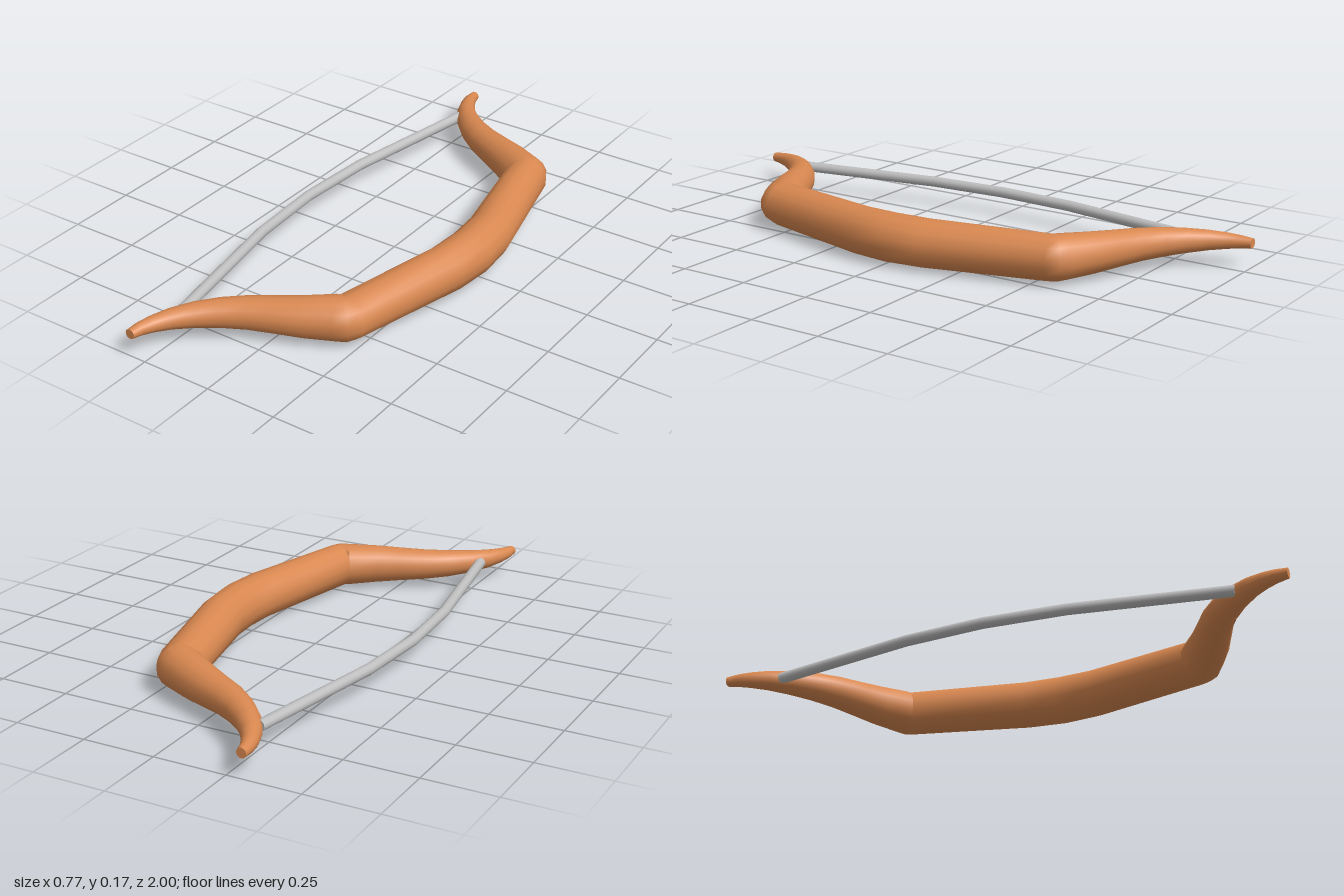
import * as THREE from 'three';

const HEIGHT = 0.0825; // height of the centre line

// Sweeps a round section along a path of [x, z, radius] points lying flat, with end caps.
function sweep(path, sides) {
  const pos = [], idx = [];
  const pts = path.map(([x, z]) => new THREE.Vector2(x, z));
  const dir = (a, b) => b.clone().sub(a).normalize();
  const ring = (i) => {
    const t = new THREE.Vector2();
    if (i > 0) t.add(dir(pts[i - 1], pts[i]));
    if (i < pts.length - 1) t.add(dir(pts[i], pts[i + 1]));
    t.normalize();
    if (path[i][3]) t.set(0, 1); // squared-off end
    const r = path[i][2], start = pos.length / 3;
    for (let j = 0; j < sides; j++) {
      const a = Math.PI / 2 + (j / sides) * Math.PI * 2;
      const c = Math.cos(a) * r;
      pos.push(pts[i].x + t.y * c, HEIGHT + Math.sin(a) * r, pts[i].y - t.x * c);
    }
    return start;
  };
  path.forEach((_, i) => {
    const b = ring(i);
    if (i === 0) return;
    for (let j = 0; j < sides; j++) {
      const k = (j + 1) % sides, a = b - sides;
      idx.push(a + j, a + k, b + j, a + k, b + k, b + j);
    }
  });
  // Caps use their own vertices so their rims stay sharp
  for (const i of [0, path.length - 1]) {
    const s = ring(i);
    for (let j = 1; j < sides - 1; j++) {
      if (i === 0) idx.push(s, s + j + 1, s + j);
      else idx.push(s, s + j, s + j + 1);
    }
  }
  const g = new THREE.BufferGeometry();
  g.setAttribute('position', new THREE.Float32BufferAttribute(pos, 3));
  g.setIndex(idx);
  g.computeVertexNormals();
  return g;
}

// Extends a half path (from z = 0 forward) to the back by mirroring
const mirror = (half) => [
  ...half.slice(1).reverse().map(([x, z, r, end]) => [x, -z, r, end]),
  ...half,
];

export function createModel() {
  const wood = new THREE.MeshStandardMaterial({ color: 0xd98850 });
  wood.name = 'wood';
  const cord = new THREE.MeshStandardMaterial({ color: 0xbebebe });
  cord.name = 'cord';

  const group = new THREE.Group();
  group.name = 'bow';

  // Grip, sharp shoulder, then a tapering limb that recurves to the tip
  const limbs = new THREE.Mesh(sweep(mirror([
    [0.304, 0, 0.0825],
    [0.293, 0.13, 0.081],
    [0.197, 0.54, 0.076],
    [0.19, 0.556, 0.076],
    [0.165, 0.568, 0.075],
    [0.08, 0.62, 0.068],
    [0, 0.66, 0.061],
    [-0.08, 0.7, 0.055],
    [-0.15, 0.748, 0.049],
    [-0.21, 0.804, 0.042],
    [-0.257, 0.865, 0.034],
    [-0.285, 0.92, 0.027],
    [-0.298, 0.96, 0.022],
    [-0.303, 1, 0.017, true],
  ]), 14), wood);
  limbs.name = 'bowLimbs';

  // String, bent slightly outward in the middle
  const string = new THREE.Mesh(sweep(mirror([
    [-0.366, 0, 0.019],
    [-0.348, 0.285, 0.019],
    [-0.256, 0.815, 0.019],
  ]), 12), cord);
  string.name = 'bowString';

  group.add(limbs, string);
  return group;
}
